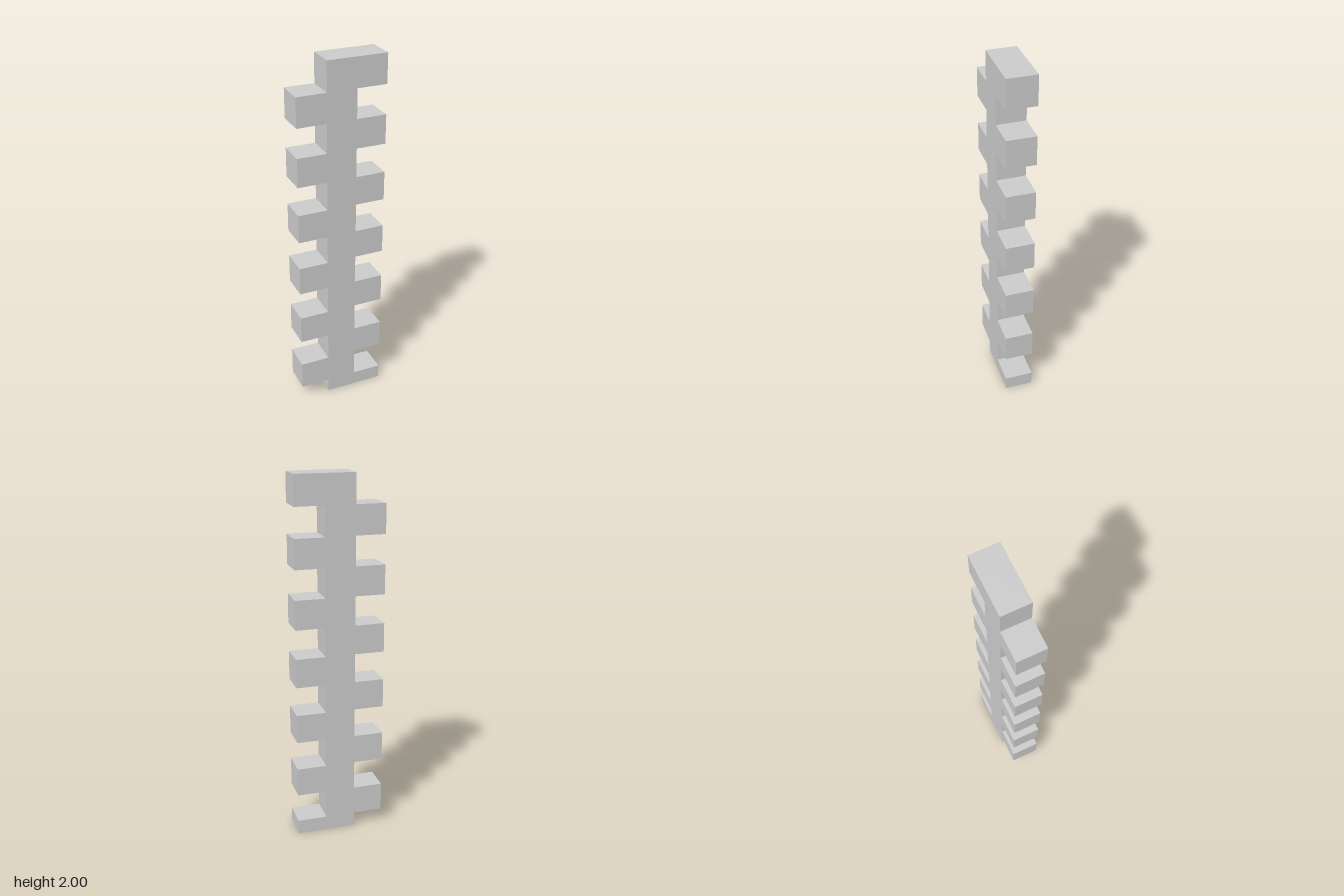
import * as THREE from 'three';

// Toothed brick column: a half-height base brick, then full bricks alternating side to side
export function createModel() {
  const group = new THREE.Group();
  group.name = 'brickColumn';
  const material = new THREE.MeshStandardMaterial({ color: 0xcccccc, flatShading: true });

  const count = 12;
  const course = 0.16;
  const baseHeight = 2 - count * course;
  const length = 0.327;
  const depth = 0.158;
  const shift = 0.0815; // sideways offset of each course

  function addBrick(name, side, bottom, height) {
    const brick = new THREE.Mesh(new THREE.BoxGeometry(length, height, depth), material);
    brick.name = name;
    brick.position.set(side * shift, bottom + height / 2, 0);
    group.add(brick);
  }

  addBrick('baseHalfBrick', 1, 0, baseHeight);

  // Full courses, starting on the opposite side from the base
  for (let i = 0; i < count; i++) {
    addBrick(`brick${i + 1}`, i % 2 ? 1 : -1, baseHeight + i * course, course);
  }
  return group;
}
